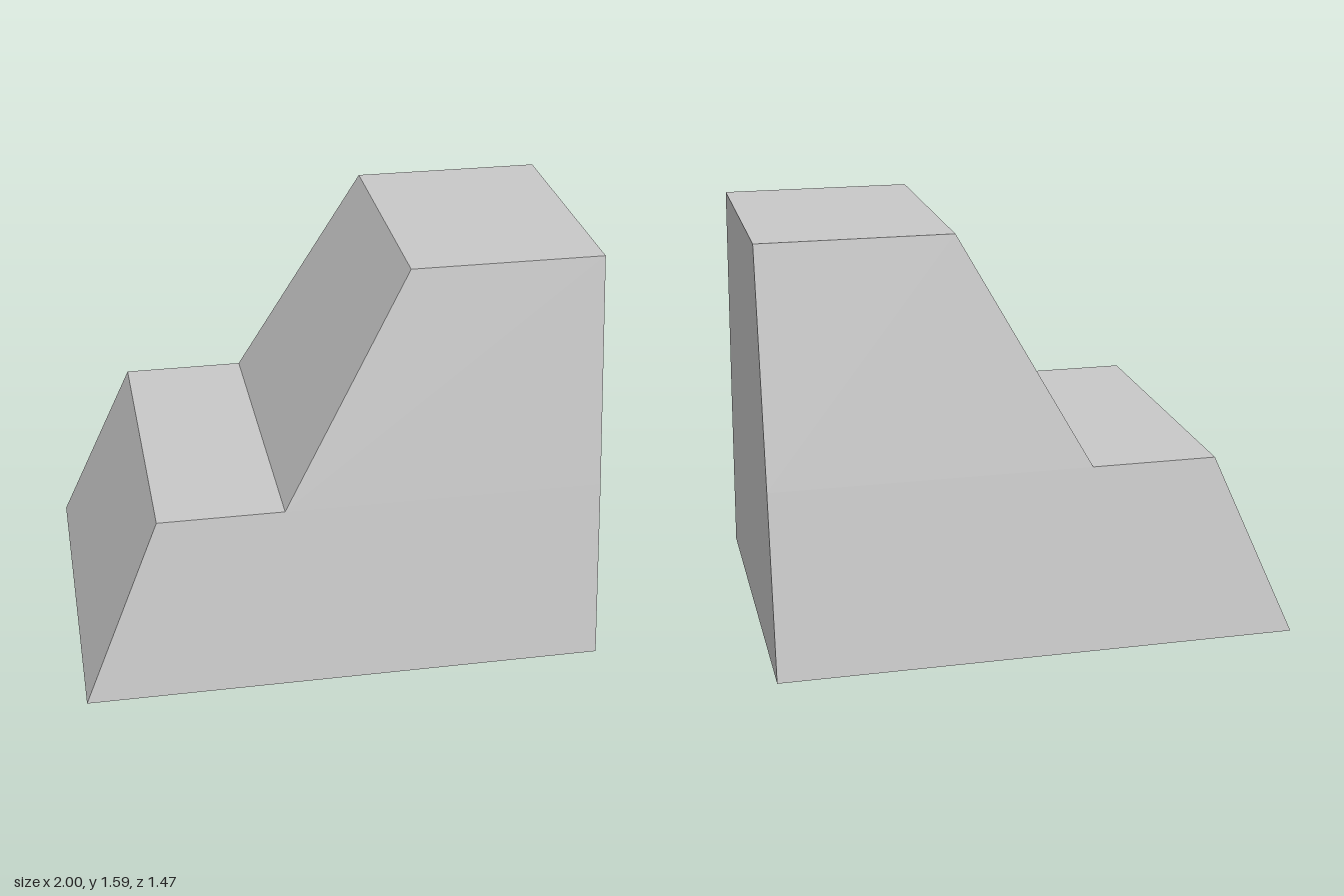
import * as THREE from 'three';

// Key heights: ground, step, top
const STEP = 0.705, TOP = 1.587;

// Half depth of the body at each height; the walls lean in more above the step
const HALF_DEPTH = new Map([[0, 0.736], [STEP, 0.636], [TOP, 0.491]]);

// Flat convex face from [x, y] points; side(i) says whether point i lies at front (1) or back (-1)
function face(points, side) {
  const corners = points.map(([x, y], i) => [x, y, side(i) * HALF_DEPTH.get(y)]);
  const positions = [];
  for (let i = 1; i < corners.length - 1; i++) {
    positions.push(...corners[0], ...corners[i], ...corners[i + 1]);
  }
  const geometry = new THREE.BufferGeometry();
  geometry.setAttribute('position', new THREE.Float32BufferAttribute(positions, 3));
  geometry.computeVertexNormals();
  return geometry;
}

export function createModel() {
  const model = new THREE.Group();
  model.name = 'steppedShell';
  const grey = new THREE.MeshStandardMaterial({ color: 0xc8c8c8 });
  grey.name = 'grey';
  grey.flatShading = true;
  grey.side = THREE.DoubleSide; // thin shell, open underneath

  const add = (name, geometry) => {
    const mesh = new THREE.Mesh(geometry, grey);
    mesh.name = name;
    model.add(mesh);
  };

  // Faces spanning the depth, following the stepped profile over the top
  const profile = [[-1, 0], [-0.7, STEP], [-0.22, STEP], [0.27, TOP], [1, TOP], [1, STEP], [1, 0]];
  const names = ['lowerSlope', 'step', 'upperSlope', 'top', 'upperEndWall', 'lowerEndWall'];
  names.forEach((name, i) => {
    const a = profile[i], b = profile[i + 1];
    add(name, face([a, b, b, a], (k) => (k < 2 ? 1 : -1)));
  });

  // Front and back walls, each in two slightly different leans
  const walls = {
    LowerWall: [[-1, 0], [1, 0], [1, STEP], [-0.22, STEP], [-0.7, STEP]],
    UpperWall: [[-0.22, STEP], [1, STEP], [1, TOP], [0.27, TOP]],
  };
  for (const [name, outline] of Object.entries(walls)) {
    add('front' + name, face(outline, () => 1));
    add('back' + name, face([...outline].reverse(), () => -1));
  }
  return model;
}
